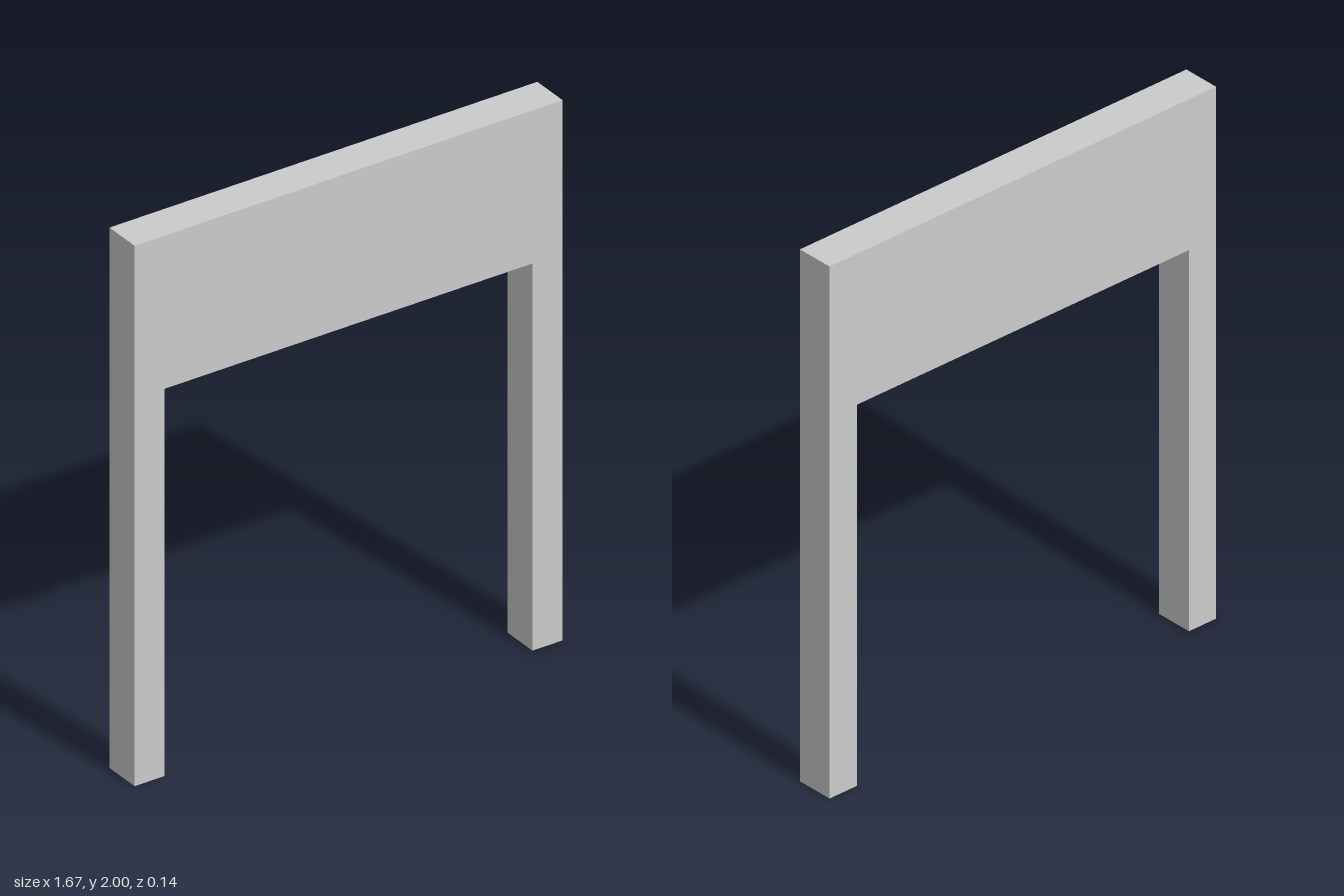
import * as THREE from 'three';

const HALF_WIDTH = 0.833;
const HALF_OPENING = 0.716;
const HEIGHT = 2;
const OPENING_HEIGHT = 1.433;
const DEPTH = 0.143;

export function createModel() {
  const group = new THREE.Group();
  group.name = 'doorwayFrame';

  // Two posts and a deep lintel as one continuous outline
  const outline = new THREE.Shape([
    [-HALF_WIDTH, 0],
    [-HALF_OPENING, 0],
    [-HALF_OPENING, OPENING_HEIGHT],
    [HALF_OPENING, OPENING_HEIGHT],
    [HALF_OPENING, 0],
    [HALF_WIDTH, 0],
    [HALF_WIDTH, HEIGHT],
    [-HALF_WIDTH, HEIGHT],
  ].map(([x, y]) => new THREE.Vector2(x, y)));

  const geometry = new THREE.ExtrudeGeometry(outline, { depth: DEPTH, bevelEnabled: false });
  geometry.translate(0, 0, -DEPTH / 2);

  const frame = new THREE.Mesh(geometry, new THREE.MeshStandardMaterial({ color: 0xcccccc }));
  frame.name = 'postsAndLintel';
  group.add(frame);

  return group;
}
